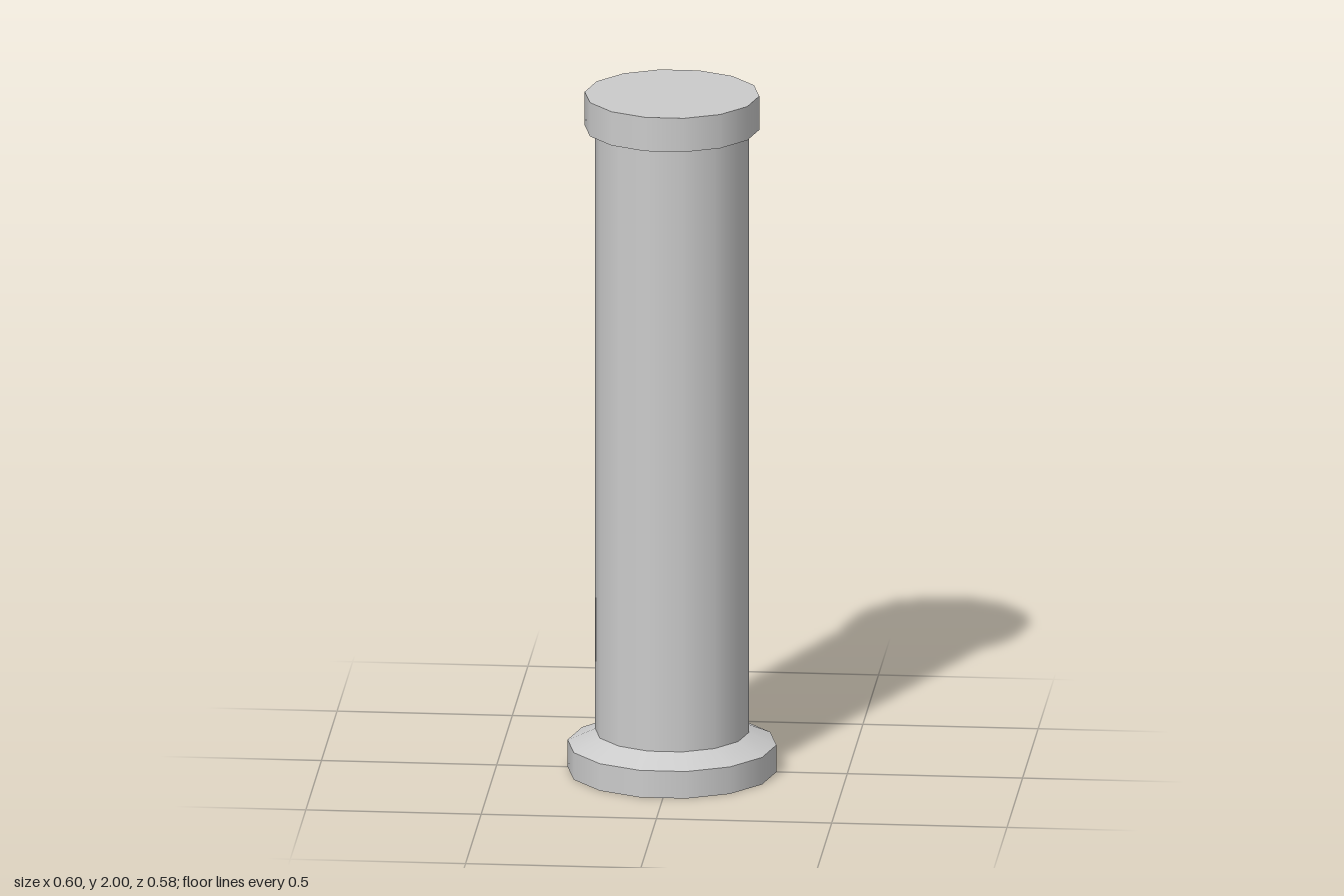
import * as THREE from 'three';

const SIDES = 14;

export function createModel() {
  const group = new THREE.Group();
  const material = new THREE.MeshStandardMaterial({ color: 0xcccccc });

  // A 14-sided drum between two heights, with corners on the x axis
  const addDrum = (name, rBottom, rTop, y0, y1, open = false) => {
    const geometry = new THREE.CylinderGeometry(rTop, rBottom, y1 - y0, SIDES, 1, open, Math.PI / 2);
    geometry.translate(0, (y0 + y1) / 2, 0);
    const mesh = new THREE.Mesh(geometry, material);
    mesh.name = name;
    group.add(mesh);
  };

  // Plinth: its top is covered by the sloped collar
  addDrum('base', 0.298, 0.298, 0, 0.08);
  addDrum('baseCollar', 0.298, 0.219, 0.08, 0.115, true);

  // Plain shaft, ends hidden in the collar and the cap
  addDrum('shaft', 0.219, 0.219, 0.115, 1.9, true);

  // Flat capital
  addDrum('cap', 0.249, 0.249, 1.9, 2);

  return group;
}
